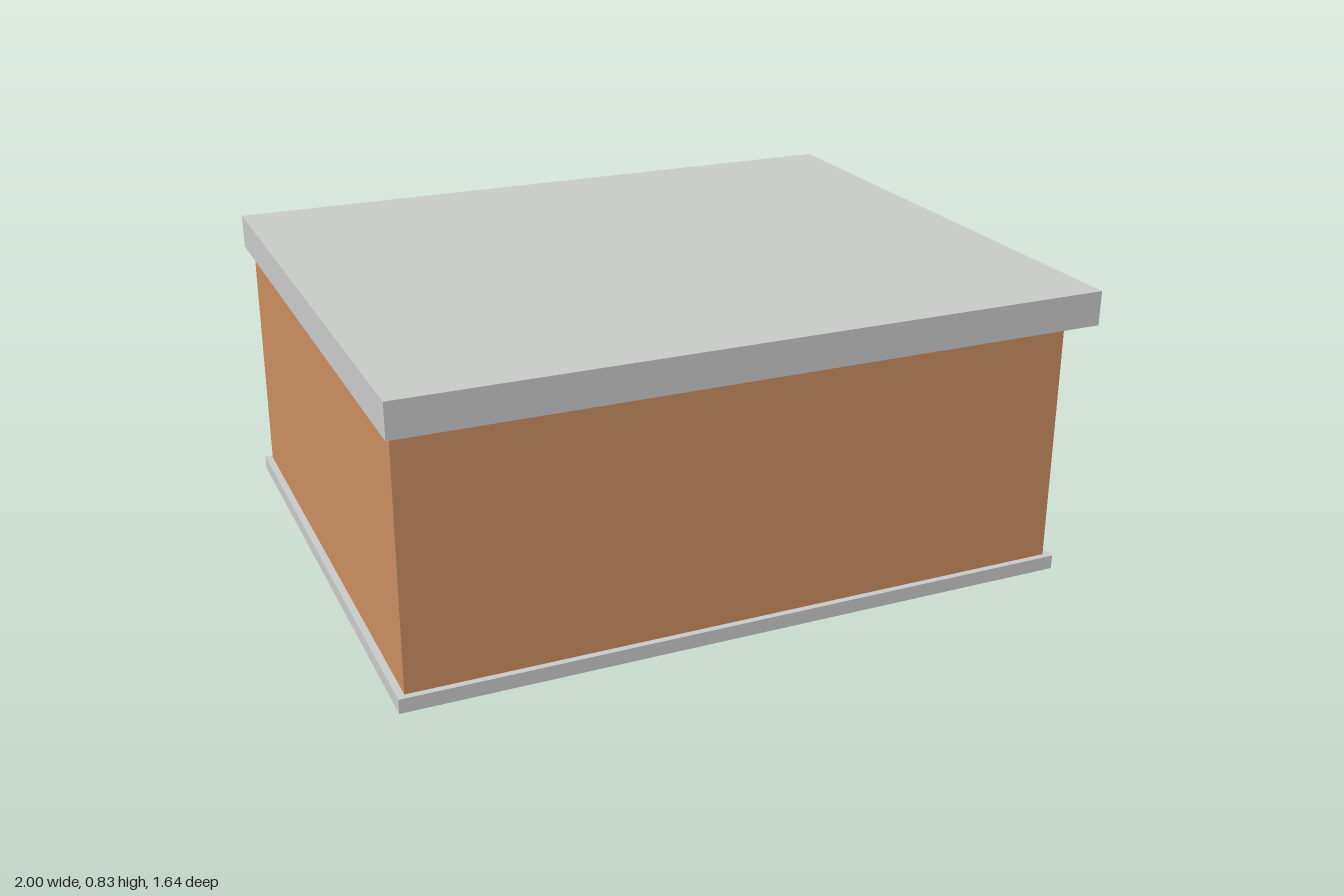
import * as THREE from 'three';

const concrete = new THREE.MeshStandardMaterial({ name: 'pale grey concrete', color: 0xc7c9c7 });
const brick = new THREE.MeshStandardMaterial({ name: 'terracotta wall', color: 0xc98d60 });
const glass = new THREE.MeshStandardMaterial({ name: 'blue glass', color: 0x3498cb });

// Box given by its lower and upper limits on each axis
function block(name, mat, [x0, x1], [y0, y1], [z0, z1]) {
  const mesh = new THREE.Mesh(new THREE.BoxGeometry(x1 - x0, y1 - y0, z1 - z0), mat);
  mesh.position.set((x0 + x1) / 2, (y0 + y1) / 2, (z0 + z1) / 2);
  mesh.name = name;
  return mesh;
}

function rectHole(x0, x1, y0, y1) {
  return new THREE.Path().moveTo(x0, y0).lineTo(x0, y1).lineTo(x1, y1).lineTo(x1, y0).closePath();
}

// Window facing +x, centred on z = 0
function createWindow() {
  const g = new THREE.Group();
  g.name = 'window';
  const wall = 0.895;

  // Frame with a tall upper pane and a short lower pane
  const shape = new THREE.Shape().moveTo(-0.12, 0.12).lineTo(0.12, 0.12).lineTo(0.12, 0.592).lineTo(-0.12, 0.592).closePath();
  shape.holes.push(rectHole(-0.09, 0.09, 0.165, 0.26), rectHole(-0.09, 0.09, 0.295, 0.562));
  const frame = new THREE.Mesh(new THREE.ExtrudeGeometry(shape, { depth: 0.02, bevelEnabled: false }), concrete);
  frame.rotation.y = Math.PI / 2;
  frame.position.x = wall;
  frame.name = 'windowFrame';
  g.add(frame);

  g.add(block('windowPanes', glass, [wall, wall + 0.004], [0.15, 0.575], [-0.1, 0.1]));

  // Small corner studs on the panes
  for (const y of [0.17, 0.255, 0.3]) {
    for (const z of [-0.085, 0.085]) {
      g.add(block('cornerStud', concrete, [wall, wall + 0.009], [y - 0.005, y + 0.005], [z - 0.005, z + 0.005]));
    }
  }

  // Hood: a block whose underside tapers in at the front and sides
  const geo = new THREE.BoxGeometry(0.085, 0.035, 0.24).toNonIndexed();
  const p = geo.attributes.position;
  for (let i = 0; i < p.count; i++) {
    if (p.getY(i) < 0) {
      p.setZ(i, Math.sign(p.getZ(i)) * 0.09);
      if (p.getX(i) > 0) p.setX(i, 0.0125);
    }
  }
  geo.computeVertexNormals();
  const hood = new THREE.Mesh(geo, concrete);
  hood.position.set(0.9575, 0.5755, 0);
  hood.name = 'windowHood';
  g.add(hood);
  g.add(block('hoodCap', concrete, [wall, 1], [0.592, 0.597], [-0.12, 0.12]));
  return g;
}

export function createModel() {
  const model = new THREE.Group();
  model.name = 'building';
  model.add(
    block('plinth', concrete, [-1, 0.915], [0, 0.04], [-0.79, 0.79]),
    block('walls', brick, [-0.98, 0.895], [0.04, 0.74], [-0.772, 0.772]),
    block('roofSlab', concrete, [-1, 0.97], [0.738, 0.835], [-0.82, 0.82])
  );
  for (const z of [-0.514, 0, 0.514]) {
    const w = createWindow();
    w.position.z = z;
    model.add(w);
  }
  return model;
}
